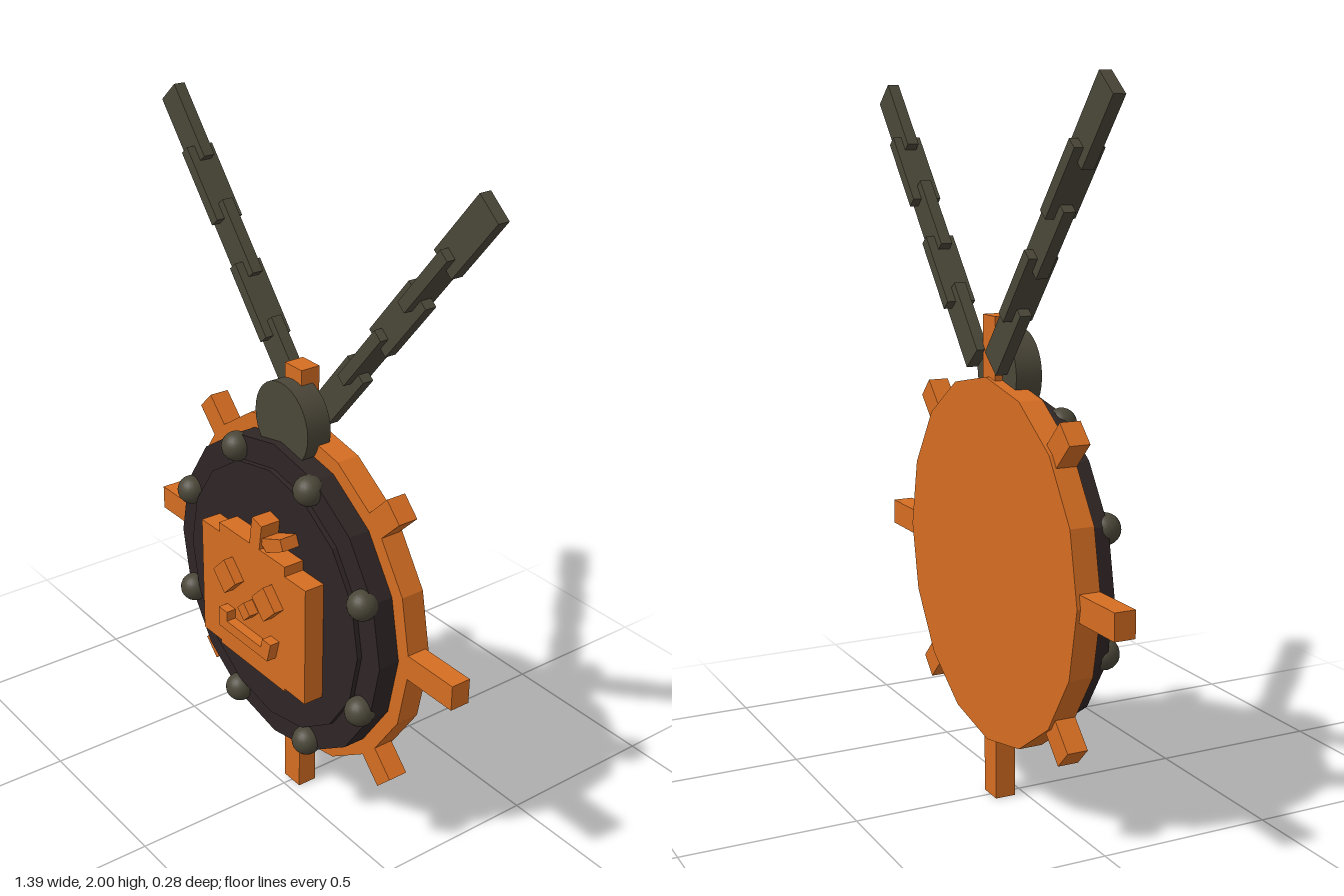
import * as THREE from 'three';

export function createModel() {
  const model = new THREE.Group();
  const mat = (name, color, flatShading = false) => {
    const m = new THREE.MeshStandardMaterial({ color, flatShading });
    m.name = name;
    return m;
  };
  const orange = mat('orange', 0xd56d22, true);
  const dark = mat('darkBrown', 0x2f2525, true);
  const iron = mat('oliveIron', 0x4a4638);
  const CY = 0.69; // height of the medallion's centre

  const add = (name, geometry, material, x = 0, y = 0, z = 0, parent = model) => {
    const mesh = new THREE.Mesh(geometry, material);
    mesh.name = name;
    mesh.position.set(x, y, z);
    parent.add(mesh);
    return mesh;
  };
  // Disc facing +z between two depths
  const disc = (name, r, z0, z1, sides, material, y = CY) =>
    add(name, new THREE.CylinderGeometry(r, r, z1 - z0, sides).rotateX(Math.PI / 2),
      material, 0, y, (z0 + z1) / 2);
  // Flat outline extruded between two depths
  const plate = (name, points, z0, z1) => {
    const shape = new THREE.Shape(points.map(([x, y]) => new THREE.Vector2(x, y)));
    return add(name, new THREE.ExtrudeGeometry(shape, { depth: z1 - z0, bevelEnabled: false }),
      orange, 0, 0, z0);
  };

  // Stacked discs
  disc('backDisc', 0.52, -0.1, -0.03, 16, orange);
  disc('frontDisc', 0.475, -0.035, 0.035, 16, dark);
  disc('innerDisc', 0.4, 0.03, 0.05, 16, dark);
  disc('hangerBoss', 0.12, -0.067, 0.01, 32, iron, 1.22);

  // Long spokes on the axes, short ones on the diagonals
  for (let i = 0; i < 8; i++) {
    const a = i * Math.PI / 4;
    const end = i % 2 ? 0.61 : 0.688;
    const length = end - 0.4;
    const r = end - length / 2;
    const spoke = add('spoke', new THREE.BoxGeometry(length, 0.074, 0.06), orange,
      Math.cos(a) * r, CY + Math.sin(a) * r, -0.06);
    spoke.rotation.z = a;
  }

  // Ring of studs
  const studGeometry = new THREE.SphereGeometry(0.043, 20, 14);
  for (let i = 0; i < 8; i++) {
    const a = (i + 0.5) * Math.PI / 4;
    add('stud', studGeometry, iron, Math.cos(a) * 0.44, CY + Math.sin(a) * 0.44, 0.043);
  }

  // Pumpkin emblem
  plate('pumpkinBody', [
    [-0.249, 0.482], [-0.16, 0.482], [-0.16, 0.472], [0.155, 0.472], [0.155, 0.482], [0.249, 0.482],
    [0.249, 0.848], [0.155, 0.848], [0.155, 0.878], [-0.16, 0.878], [-0.16, 0.848], [-0.249, 0.848],
  ], 0.04, 0.112);
  plate('pumpkinStem', [[-0.012, 0.87], [0.035, 0.87], [0.048, 0.955], [0.003, 0.966]], 0.04, 0.112);
  plate('pumpkinLeaf', [[0.02, 0.905], [0.06, 0.878], [0.138, 0.915], [0.124, 0.947], [0.045, 0.915]], 0.05, 0.105);
  const diamond = (name, x, y, h) =>
    plate(name, [[x - h, y], [x, y - h], [x + h, y], [x, y + h]], 0.105, 0.142);
  diamond('leftEye', 0.095, 0.74, 0.055);
  diamond('rightEye', -0.095, 0.74, 0.055);
  diamond('nose', 0, 0.67, 0.03);
  plate('mouth', [
    [-0.125, 0.563], [0.113, 0.563], [0.13, 0.625], [0.09, 0.625],
    [0.082, 0.595], [-0.085, 0.595], [-0.085, 0.625], [-0.125, 0.625],
  ], 0.105, 0.142);

  // Two mirrored chains of links alternating face-on and edge-on
  const flatLink = new THREE.BoxGeometry(0.225, 0.086, 0.034);
  const edgeLink = new THREE.BoxGeometry(0.225, 0.034, 0.084);
  for (const side of [1, -1]) {
    const chain = new THREE.Group();
    chain.name = side > 0 ? 'leftChain' : 'rightChain';
    chain.position.set(side * 0.13, 1.34, -0.097);
    chain.rotation.z = side > 0 ? THREE.MathUtils.degToRad(50) : THREE.MathUtils.degToRad(130);
    for (let i = 0; i < 5; i++) {
      add('chainLink', i % 2 ? edgeLink : flatLink, iron, i * 0.179, 0, 0, chain);
    }
    model.add(chain);
  }

  return model;
}
